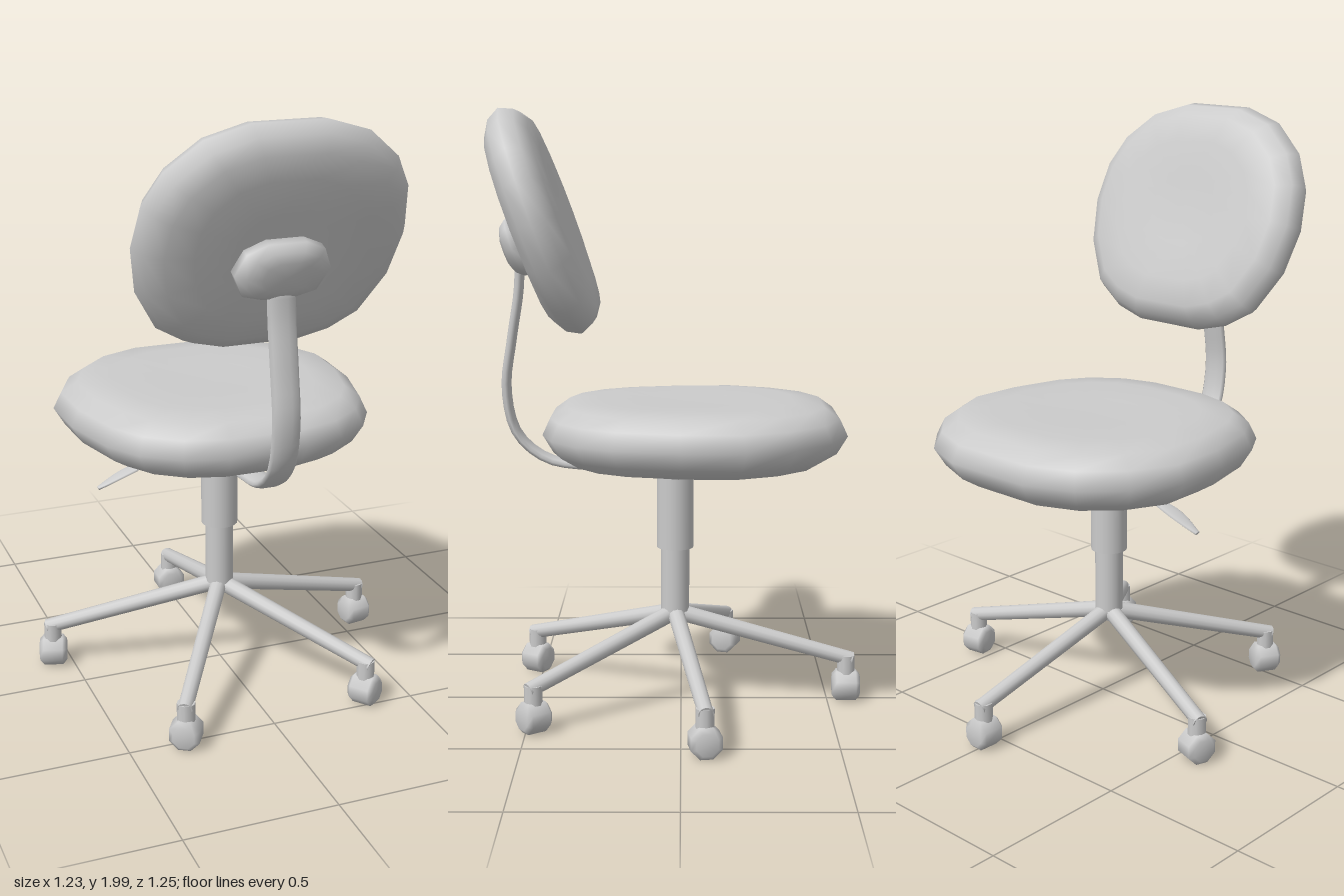
import * as THREE from 'three';

const material = new THREE.MeshStandardMaterial({ color: 0xcccccc });
const CX = -0.01, CZ = 0.02; // column axis

function add(parent, name, geometry, x = 0, y = 0, z = 0) {
  const mesh = new THREE.Mesh(geometry, material);
  mesh.name = name;
  mesh.position.set(x, y, z);
  parent.add(mesh);
  return mesh;
}

// Smooth closed skin over equal-length rings of Vector3, capped at both ends.
function loft(rings) {
  const n = rings[0].length, pos = [], idx = [];
  rings.forEach(r => r.forEach(p => pos.push(p.x, p.y, p.z)));
  const centre = ring => {
    const c = new THREE.Vector3();
    ring.forEach(p => c.addScaledVector(p, 1 / n));
    pos.push(c.x, c.y, c.z);
    return pos.length / 3 - 1;
  };
  const first = centre(rings[0]), last = centre(rings[rings.length - 1]);
  const end = (rings.length - 1) * n;
  for (let i = 0; i < n; i++) {
    const k = (i + 1) % n;
    for (let j = 0; j < end; j += n) {
      idx.push(j + i, j + k, j + n + k, j + i, j + n + k, j + n + i);
    }
    idx.push(first, k, i, last, end + i, end + k);
  }
  const g = new THREE.BufferGeometry();
  g.setAttribute('position', new THREE.Float32BufferAttribute(pos, 3));
  g.setIndex(idx);
  g.computeVertexNormals();
  return g;
}

// Padded cushion: half outline [x, z] from +z to -z, profile of [scale, y].
function cushion(half, profile) {
  const outline = [...half, ...half.map(([x, z]) => [-x, z]).reverse()];
  return loft(profile.map(([s, y]) => outline.map(([x, z]) => new THREE.Vector3(x * s, y, z * s))));
}

// Elliptical bar along a curve; size(t) returns [half width along side, half thickness].
function bar(points, side, size, steps) {
  const curve = new THREE.CatmullRomCurve3(points.map(p => new THREE.Vector3(...p)));
  const rings = [];
  for (let i = 0; i <= steps; i++) {
    const t = i / steps, c = curve.getPointAt(t);
    const normal = curve.getTangentAt(t).cross(side).normalize();
    const [w, h] = size(t), ring = [];
    for (let k = 0; k < 10; k++) {
      const a = k / 10 * Math.PI * 2;
      ring.push(c.clone().addScaledVector(side, w * Math.cos(a)).addScaledVector(normal, h * Math.sin(a)));
    }
    rings.push(ring);
  }
  return loft(rings);
}

export function createModel() {
  const chair = new THREE.Group();
  chair.name = 'swivelChair';

  // Seat: broad rounded pad, narrower towards the backrest
  const seatHalf = [[0.13, 0.5], [0.27, 0.46], [0.385, 0.375], [0.455, 0.26], [0.508, 0.045],
    [0.515, -0.155], [0.44, -0.315], [0.32, -0.435], [0.16, -0.5]];
  add(chair, 'seat', cushion(seatHalf, [[0.3, -0.105], [0.62, -0.105], [0.82, -0.095], [0.93, -0.06],
    [1, 0], [0.95, 0.055], [0.85, 0.092], [0.65, 0.104], [0.3, 0.098]]), CX, 0.935, -0.045);

  // Backrest: rounded pad leaning back
  const backHalf = [[0.12, 0.385], [0.26, 0.34], [0.37, 0.245], [0.425, 0.14], [0.443, 0],
    [0.415, -0.155], [0.335, -0.295], [0.24, -0.355], [0.13, -0.385]];
  const back = add(chair, 'backrest', cushion(backHalf, [[0.3, -0.085], [0.62, -0.085], [0.82, -0.075],
    [0.94, -0.045], [1, 0], [0.95, 0.045], [0.84, 0.075], [0.62, 0.083], [0.3, 0.075]]), CX, 1.63, 0.455);
  back.rotation.x = -70 * Math.PI / 180;

  // Eight-sided mounting pad behind the backrest
  const padHalf = [[0.06, 0.095], [0.125, 0.065], [0.155, -0.005], [0.12, -0.08], [0.05, -0.1]];
  const pad = add(chair, 'backrestMount', cushion(padHalf,
    [[0.5, -0.05], [0.8, -0.038], [1, -0.012], [1, 0.03]]), CX, 1.55, 0.535);
  pad.rotation.x = -70 * Math.PI / 180;

  // Bent flat bar joining seat and backrest
  add(chair, 'backrestBar', bar([[CX, 0.8, 0.02], [CX, 0.798, 0.14], [CX, 0.81, 0.3], [CX, 0.835, 0.45],
    [CX, 0.92, 0.55], [CX, 1.07, 0.585], [CX, 1.24, 0.565], [CX, 1.4, 0.54], [CX, 1.5, 0.535]],
  new THREE.Vector3(1, 0, 0), () => [0.047, 0.016], 28), 0, 0, 0);

  // Bowl under the seat
  const bowl = [[0, 0.765], [0.06, 0.772], [0.11, 0.795], [0.14, 0.825], [0.148, 0.85]];
  add(chair, 'seatBowl', new THREE.LatheGeometry(bowl.map(p => new THREE.Vector2(...p)), 20), CX, 0, 0.01);

  // Height lever with a spoon-shaped end
  add(chair, 'heightLever', bar([[-0.04, 0.805, -0.01], [-0.2, 0.782, -0.015], [-0.33, 0.745, -0.015],
    [-0.43, 0.7, -0.015]], new THREE.Vector3(0, 0, 1),
  t => [0.01 + 0.022 * Math.sin(Math.PI * Math.max(0, (t - 0.45) / 0.55)), 0.006], 16));

  // Telescopic column
  add(chair, 'upperColumn', new THREE.CylinderGeometry(0.062, 0.062, 0.28, 20), CX, 0.67, CZ);
  add(chair, 'lowerColumn', new THREE.CylinderGeometry(0.048, 0.048, 0.24, 20), CX, 0.43, CZ);
  add(chair, 'hub', new THREE.CylinderGeometry(0.048, 0.025, 0.055, 20), CX, 0.295, CZ);

  // Five legs with casters: [x, z] of each caster
  const wheelProfile = [[0, -0.047], [0.038, -0.047], [0.054, -0.033], [0.054, 0.033], [0.038, 0.047], [0, 0.047]]
    .map(p => new THREE.Vector2(...p));
  const wheelGeometry = new THREE.LatheGeometry(wheelProfile, 8, Math.PI / 8);
  const casters = [[0.005, -0.565], [0.56, -0.075], [0.34, 0.475], [-0.315, 0.52], [-0.565, -0.165]];
  casters.forEach(([x, z]) => {
    const dx = x - CX, dz = z - CZ, reach = Math.hypot(dx, dz);
    const leg = new THREE.Group();
    leg.name = 'leg';
    leg.position.set(CX, 0, CZ);
    leg.rotation.y = Math.atan2(dx, dz);
    chair.add(leg);

    const rise = 0.165, run = reach + 0.02;
    const tube = add(leg, 'legTube',
      new THREE.CylinderGeometry(0.025, 0.029, Math.hypot(rise, run), 12), 0, 0.305 - rise / 2, run / 2);
    tube.rotation.x = Math.PI / 2 + Math.atan2(rise, run);

    add(leg, 'casterStem', new THREE.CylinderGeometry(0.03, 0.03, 0.075, 10), 0, 0.117, reach);
    add(leg, 'casterWheel', wheelGeometry, 0, 0.05, reach).rotation.x = Math.PI / 2;
  });

  return chair;
}
